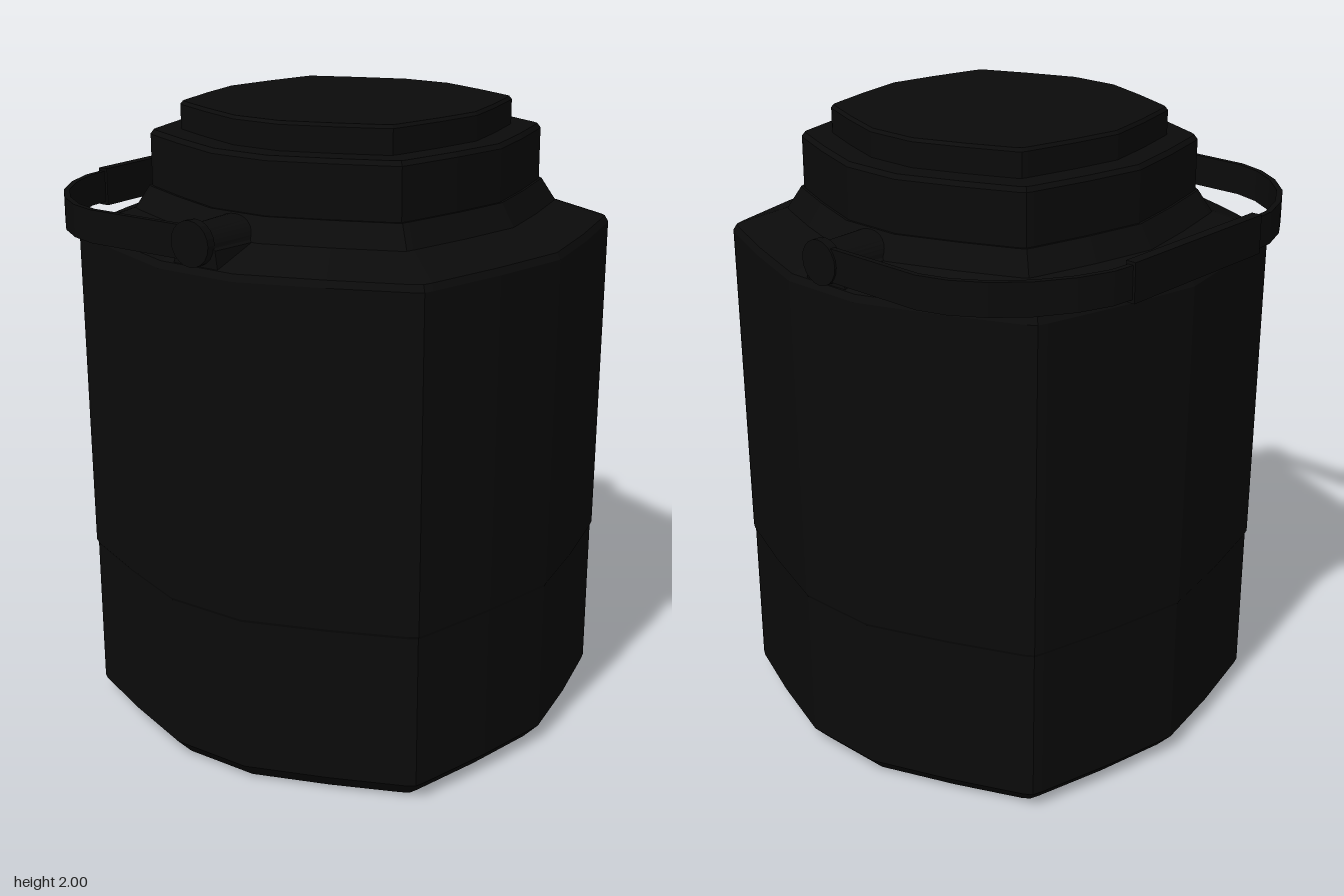
import * as THREE from 'three';

const CZ = 0.007; // body axis sits slightly forward
const black = new THREE.MeshStandardMaterial({ color: 0x0b0b0b, flatShading: true });
black.name = 'matte black';

// One quarter of the faceted outline, from the front tip to the side flat
const quarter = [[0, 0.762], [0.26, 0.713], [0.515, 0.65], [0.545, 0.64], [0.562, 0.615], [0.66, 0.39], [0.755, 0.135]];
const outline = [
  ...quarter,
  ...quarter.slice(1).reverse().map(([x, z]) => [x, -z]),
  ...quarter.map(([x, z]) => [-x, -z]),
  ...quarter.slice(1).reverse().map(([x, z]) => [-x, z]),
];

// Stack scaled copies of the outline: rings are [y, scale]; both ends are capped
function loft(name, rings) {
  const n = outline.length, pos = [], idx = [];
  for (const [y, s] of rings) for (const [x, z] of outline) pos.push(x * s, y, z * s + CZ);
  for (let r = 0; r < rings.length - 1; r++) {
    for (let i = 0; i < n; i++) {
      const j = (i + 1) % n, a = r * n + i, b = r * n + j;
      idx.push(a, b, b + n, a, b + n, a + n);
    }
  }
  const top = (rings.length - 1) * n, c0 = rings.length * n;
  pos.push(0, rings[0][0], CZ, 0, rings[rings.length - 1][0], CZ);
  for (let i = 0; i < n; i++) {
    const j = (i + 1) % n;
    idx.push(c0, j, i, c0 + 1, top + i, top + j);
  }
  const g = new THREE.BufferGeometry();
  g.setAttribute('position', new THREE.Float32BufferAttribute(pos, 3));
  g.setIndex(idx);
  return part(name, g);
}

function part(name, geometry) {
  const flat = geometry.index ? geometry.toNonIndexed() : geometry;
  flat.computeVertexNormals();
  const m = new THREE.Mesh(flat, black);
  m.name = name;
  return m;
}

// Flat carrying strap: a plan-view band extruded upwards
function strap() {
  const half = [[0.75, 0.04], [0.75, -0.38], [0.722, -0.47], [0.665, -0.56], [0.58, -0.645], [0.475, -0.71], [0.37, -0.748], [0.28, -0.755]];
  const line = [...half, ...half.slice().reverse().map(([x, z]) => [-x, z])].map(([x, z]) => new THREE.Vector2(x, -z));
  const t = 0.009, inner = [], outer = [];
  line.forEach((p, i) => {
    const a = line[Math.max(i - 1, 0)], b = line[Math.min(i + 1, line.length - 1)];
    const d = b.clone().sub(a).normalize();
    outer.push(new THREE.Vector2(p.x + d.y * t, p.y - d.x * t));
    inner.push(new THREE.Vector2(p.x - d.y * t, p.y + d.x * t));
  });
  const g = new THREE.ExtrudeGeometry(new THREE.Shape([...outer, ...inner.reverse()]), { depth: 0.1, bevelEnabled: false });
  g.rotateX(-Math.PI / 2).translate(0, 1.635, 0);
  return part('handleStrap', g);
}

// Arched mount on the shoulder, widening towards the neck
function mount(side) {
  const s = new THREE.Shape();
  s.moveTo(-0.085, 1.58);
  s.lineTo(0.085, 1.58);
  s.lineTo(0.072, 1.67);
  s.absarc(0, 1.67, 0.066, 0.1, Math.PI - 0.1, false);
  s.lineTo(-0.072, 1.67);
  const g = new THREE.ExtrudeGeometry(s, { depth: 0.2, bevelEnabled: false, curveSegments: 8 });
  const p = g.attributes.position;
  for (let i = 0; i < p.count; i++) p.setX(i, p.getX(i) * (1.35 - 0.35 * p.getZ(i) / 0.2));
  g.rotateY(side * Math.PI / 2).translate(side * 0.54, 0, 0);
  return part(side > 0 ? 'leftMount' : 'rightMount', g);
}

export function createModel() {
  const model = new THREE.Group();
  model.name = 'jug';

  // Base with chamfered foot, and the slightly wider upper shell with sloped shoulder
  model.add(loft('base', [[0, 0.915], [0.055, 0.983], [0.56, 0.985]]));
  model.add(loft('shell', [[0.545, 0.985], [0.555, 0.992], [1.595, 1], [1.615, 0.985], [1.67, 0.79], [1.74, 0.735]]));

  // Neck collar and stepped lid
  model.add(loft('neck', [[1.7, 0.725], [1.9, 0.725], [1.914, 0.712]]));
  model.add(loft('lid', [[1.9, 0.613], [1.99, 0.613], [2, 0.603]]));

  // Handle with grip and pivots
  model.add(strap());
  const grip = part('grip', new THREE.BoxGeometry(0.6, 0.12, 0.034));
  grip.position.set(0, 1.684, -0.753);
  model.add(grip);
  for (const side of [1, -1]) {
    model.add(mount(side));
    const pivot = part(side > 0 ? 'leftPivot' : 'rightPivot', new THREE.CylinderGeometry(0.068, 0.068, 0.03, 20).rotateZ(Math.PI / 2));
    pivot.position.set(side * 0.75, 1.685, 0);
    model.add(pivot);
  }
  return model;
}
